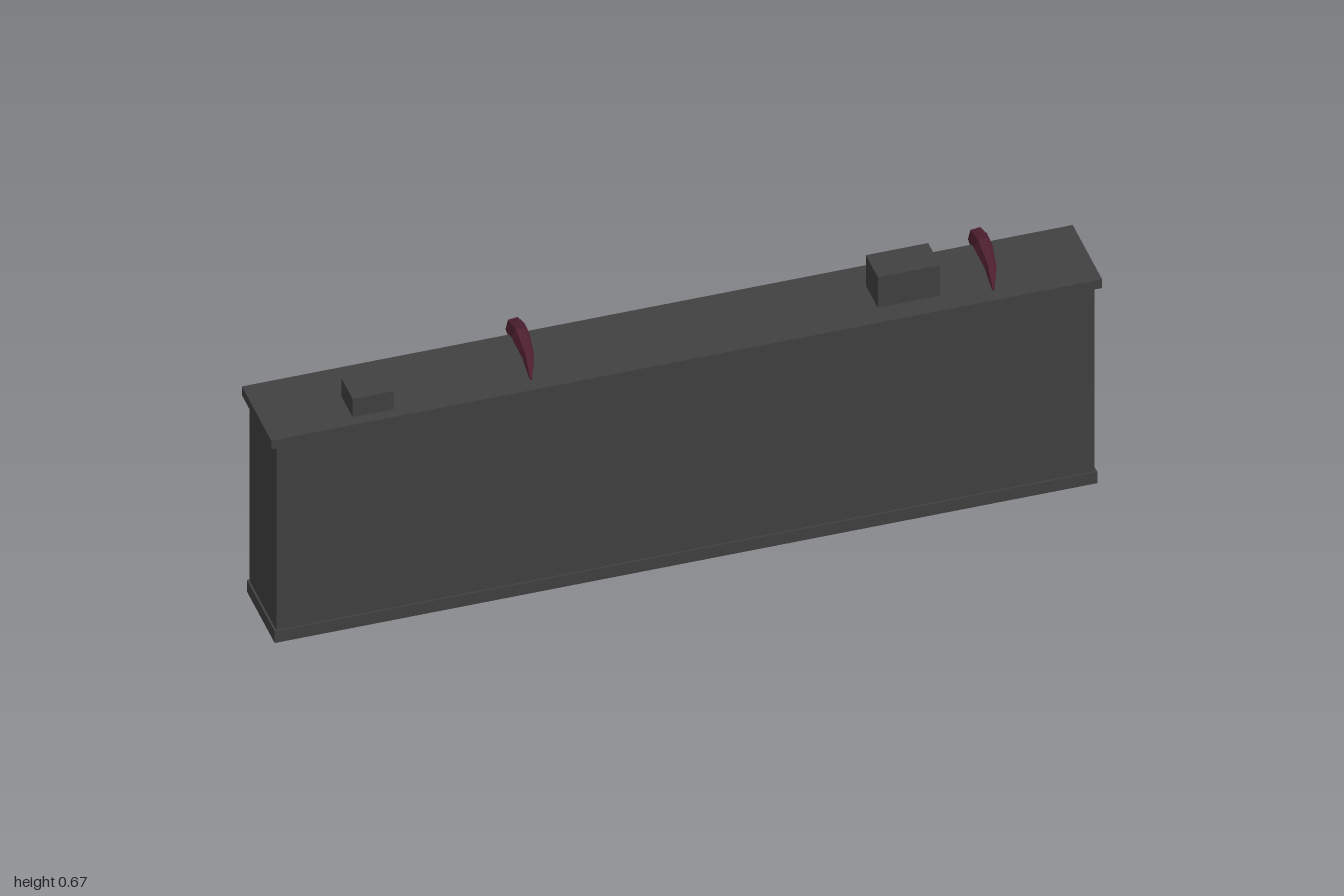
import * as THREE from 'three';

const mat = (name, color) => {
  const m = new THREE.MeshStandardMaterial({ color });
  m.name = name;
  return m;
};

// Flat-shaded tube through points [x, y, z, radius], closed at both ends
function sweep(points, ref, sides = 6) {
  const centres = points.map(p => new THREE.Vector3(p[0], p[1], p[2]));
  const rings = centres.map((c, i) => {
    const before = centres[Math.max(i - 1, 0)];
    const after = centres[Math.min(i + 1, centres.length - 1)];
    const t = after.clone().sub(before).normalize();
    const u = ref.clone().addScaledVector(t, -ref.dot(t)).normalize();
    const v = t.clone().cross(u);
    return Array.from({ length: sides }, (_, k) => {
      const a = (k / sides) * Math.PI * 2;
      return c.clone()
        .addScaledVector(u, Math.cos(a) * points[i][3])
        .addScaledVector(v, Math.sin(a) * points[i][3]);
    });
  });
  const tris = [];
  const last = rings.length - 1;
  for (let k = 0; k < sides; k++) {
    const n = (k + 1) % sides;
    for (let i = 0; i < last; i++) {
      const a = rings[i], b = rings[i + 1];
      tris.push(a[k], a[n], b[n], a[k], b[n], b[k]);
    }
    tris.push(centres[0], rings[0][n], rings[0][k]);
    tris.push(centres[last], rings[last][k], rings[last][n]);
  }
  const g = new THREE.BufferGeometry().setFromPoints(tris);
  g.computeVertexNormals();
  return g;
}

export function createModel() {
  const concrete = mat('concrete', 0x414141);
  const pane = mat('dark pane', 0x383838);
  const wood = mat('wood', 0x72542f);
  const flesh = mat('maroon growth', 0x4f2030);

  const model = new THREE.Group();
  model.name = 'building';

  const add = (parent, name, geometry, material) => {
    const mesh = new THREE.Mesh(geometry, material);
    mesh.name = name;
    parent.add(mesh);
    return mesh;
  };
  // Box given by its limits on each axis
  const box = (parent, name, material, [x0, x1], [y0, y1], [z0, z1]) => {
    const mesh = add(parent, name, new THREE.BoxGeometry(x1 - x0, y1 - y0, z1 - z0), material);
    mesh.position.set((x0 + x1) / 2, (y0 + y1) / 2, (z0 + z1) / 2);
    return mesh;
  };
  // Board on the back wall between two points
  const board = (parent, name, [xa, ya], [xb, yb], width, z, depth) => {
    const mesh = add(parent, name,
      new THREE.BoxGeometry(Math.hypot(xb - xa, yb - ya), width, depth), wood);
    mesh.position.set((xa + xb) / 2, (ya + yb) / 2, z);
    mesh.rotation.z = Math.atan2(yb - ya, xb - xa);
    return mesh;
  };

  // Main shell
  box(model, 'walls', concrete, [-0.985, 0.985], [0.01, 0.57], [-0.077, 0.123]);
  box(model, 'base', concrete, [-0.99, 0.99], [0, 0.033], [-0.08, 0.127]);
  box(model, 'roofSlab', concrete, [-1, 1], [0.56, 0.585], [-0.086, 0.132]);

  // Pilasters on the back
  for (const x of [-0.96, -0.335, 0.335, 0.96])
    box(model, 'pilaster', concrete, [x - 0.016, x + 0.016], [0, 0.56], [-0.088, -0.07]);

  // Roof boxes, the larger one with slats
  box(model, 'smallRoofBox', concrete, [-0.795, -0.695], [0.58, 0.637], [0.022, 0.104]);
  box(model, 'largeRoofBox', concrete, [0.478, 0.628], [0.58, 0.672], [-0.012, 0.077]);
  for (let i = 0; i < 4; i++) {
    const y = 0.6 + i * 0.018;
    box(model, 'ventSlat', concrete, [0.488, 0.618], [y, y + 0.005], [-0.016, -0.01]);
  }

  // Boarded windows
  for (const x of [-0.775, -0.525, 0.525, 0.775]) {
    for (const y of [0.16, 0.402]) {
      const win = new THREE.Group();
      win.name = 'boardedWindow';
      win.position.set(x, y, 0);
      model.add(win);
      const w = 0.077, h = 0.071, e = 0.006;
      box(win, 'pane', pane, [-w + 0.005, w - 0.005], [-h + 0.005, h - 0.005], [-0.082, -0.075]);
      for (const s of [-1, 1]) {
        board(win, 'frameRail', [-w, s * (h - e)], [w, s * (h - e)], 0.012, -0.086, 0.018);
        board(win, 'frameStile', [s * (w - e), -h], [s * (w - e), h], 0.012, -0.086, 0.018);
        board(win, 'crossBoard', [-w + 0.01, s * (0.01 - h)], [w - 0.01, s * (h - 0.01)],
          0.011, -0.093 - s * 0.002, 0.009);
      }
    }
  }

  // Doorway with nailed planks
  box(model, 'door', pane, [-0.075, 0.075], [0.005, 0.23], [-0.084, -0.075]);
  for (const s of [-1, 1])
    box(model, 'doorPost', concrete, [s * 0.082 - 0.008, s * 0.082 + 0.008], [0, 0.24], [-0.098, -0.075]);
  box(model, 'doorLintel', concrete, [-0.09, 0.09], [0.226, 0.24], [-0.096, -0.075]);
  board(model, 'doorPlank', [-0.09, 0.226], [0.09, 0.232], 0.021, -0.1, 0.01);
  board(model, 'doorPlank', [-0.085, 0.137], [0.09, 0.195], 0.021, -0.101, 0.01);
  board(model, 'doorPlank', [-0.092, 0.079], [0.095, 0.065], 0.021, -0.1, 0.01);

  // Flat growth patches on the back wall
  const outline = new THREE.Shape([[-0.02, 0.05], [0.022, 0.04], [0.031, -0.002], [0.012, -0.048],
    [-0.021, -0.037], [-0.031, 0.012]].map(([x, y]) => new THREE.Vector2(x, y)));
  const patchGeometry = new THREE.ExtrudeGeometry(outline, { depth: 0.02, bevelEnabled: false });
  for (const [x, y] of [[0.125, 0.305], [-0.13, 0.23]])
    add(model, 'growthPatch', patchGeometry, flesh).position.set(x, y, -0.097);

  // Tentacles climbing the back and folding over the roof
  const stem = sweep([
    [-0.26, 0.012, -0.097, 0.018], [-0.25, 0.12, -0.1, 0.02], [-0.25, 0.23, -0.1, 0.021],
    [-0.27, 0.37, -0.104, 0.022], [-0.308, 0.5, -0.108, 0.024], [-0.338, 0.595, -0.099, 0.023],
    [-0.345, 0.613, -0.037, 0.022], [-0.35, 0.604, 0.035, 0.014], [-0.368, 0.599, 0.11, 0.003],
  ], new THREE.Vector3(1, 0, 0));
  const branch = sweep([
    [-0.25, 0.225, -0.11, 0.014], [-0.205, 0.245, -0.116, 0.012],
    [-0.165, 0.268, -0.113, 0.008], [-0.122, 0.288, -0.109, 0.002],
  ], new THREE.Vector3(0, 0, 1));
  for (const offset of [0, 1.113]) {
    const tentacle = new THREE.Group();
    tentacle.name = 'tentacle';
    tentacle.position.x = offset;
    add(tentacle, 'stem', stem, flesh);
    add(tentacle, 'branch', branch, flesh);
    model.add(tentacle);
  }

  return model;
}
